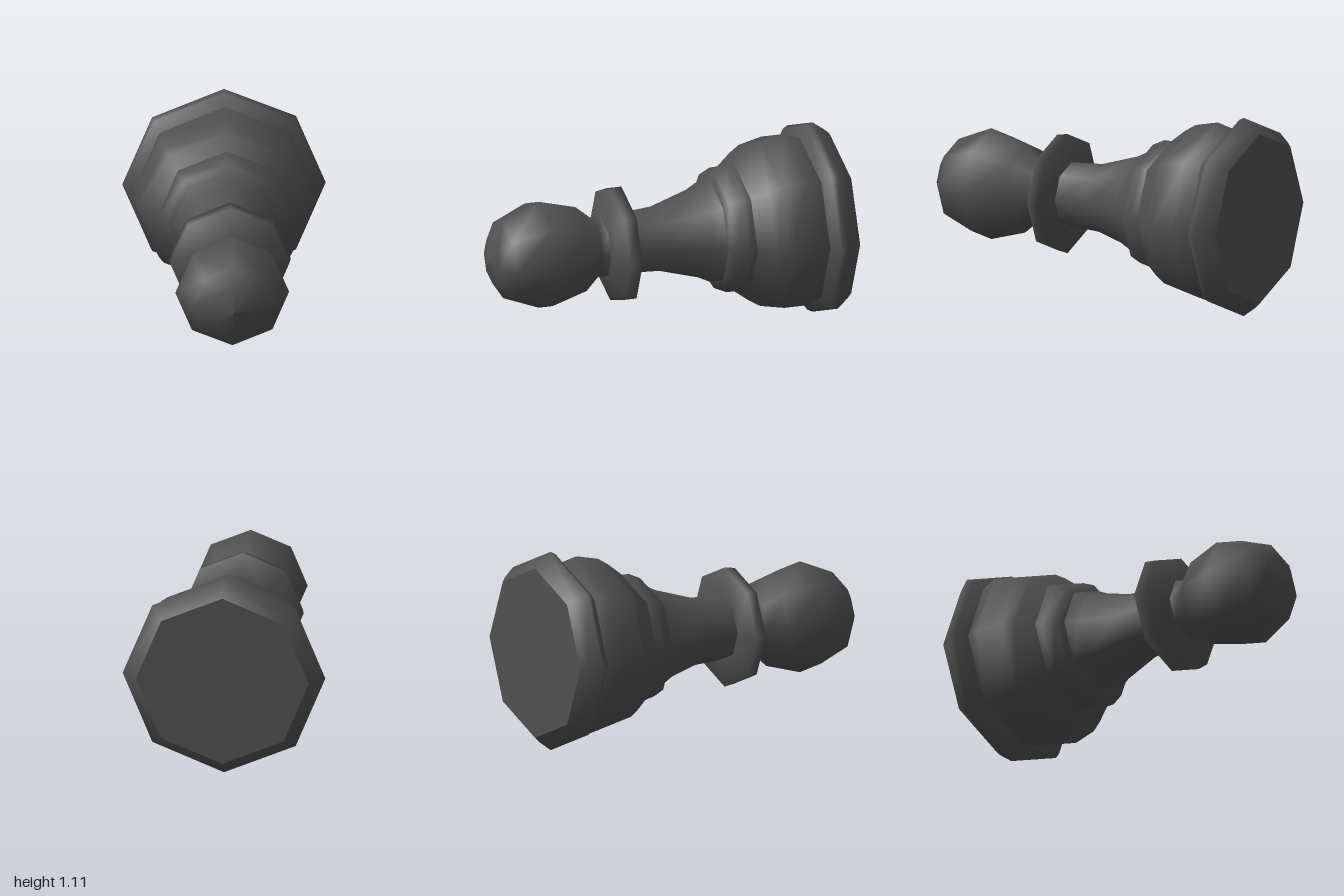
import * as THREE from 'three';

const AXIS_HEIGHT = 0.557;

// Each part is an eight-sided turned profile: [radius, z] from back to front
const PROFILES = {
  baseUnderside: [[0, -1], [0.475, -1]],
  baseRim: [[0.475, -1], [0.5, -0.975], [0.556, -0.9], [0.54, -0.87], [0.478, -0.825]],
  baseBell: [[0.478, -0.825], [0.511, -0.735], [0.48, -0.595], [0.44, -0.53], [0.372, -0.442]],
  bodyRing: [[0.372, -0.442], [0.372, -0.398], [0.338, -0.325], [0.297, -0.3]],
  stem: [[0.297, -0.3], [0.261, -0.23], [0.192, -0.005], [0.179, 0.19]],
  collar: [[0.179, 0.19], [0.334, 0.215], [0.324, 0.28], [0.18, 0.34]],
  head: [[0.18, 0.34], [0.166, 0.385], [0.25, 0.483], [0.311, 0.697],
    [0.226, 0.905], [0.126, 0.97], [0, 1]],
};

export function createModel() {
  const model = new THREE.Group();
  model.name = 'chessPawn';

  const charcoal = new THREE.MeshStandardMaterial({ color: 0x505050 });
  charcoal.name = 'charcoal';

  for (const [name, profile] of Object.entries(PROFILES)) {
    const points = profile.map(([r, z]) => new THREE.Vector2(r, z));
    // Turn the lathe axis so the pawn lies with its head facing the front
    const geometry = new THREE.LatheGeometry(points, 8).rotateX(Math.PI / 2);
    const mesh = new THREE.Mesh(geometry, charcoal);
    mesh.name = name;
    mesh.position.y = AXIS_HEIGHT;
    model.add(mesh);
  }
  return model;
}
